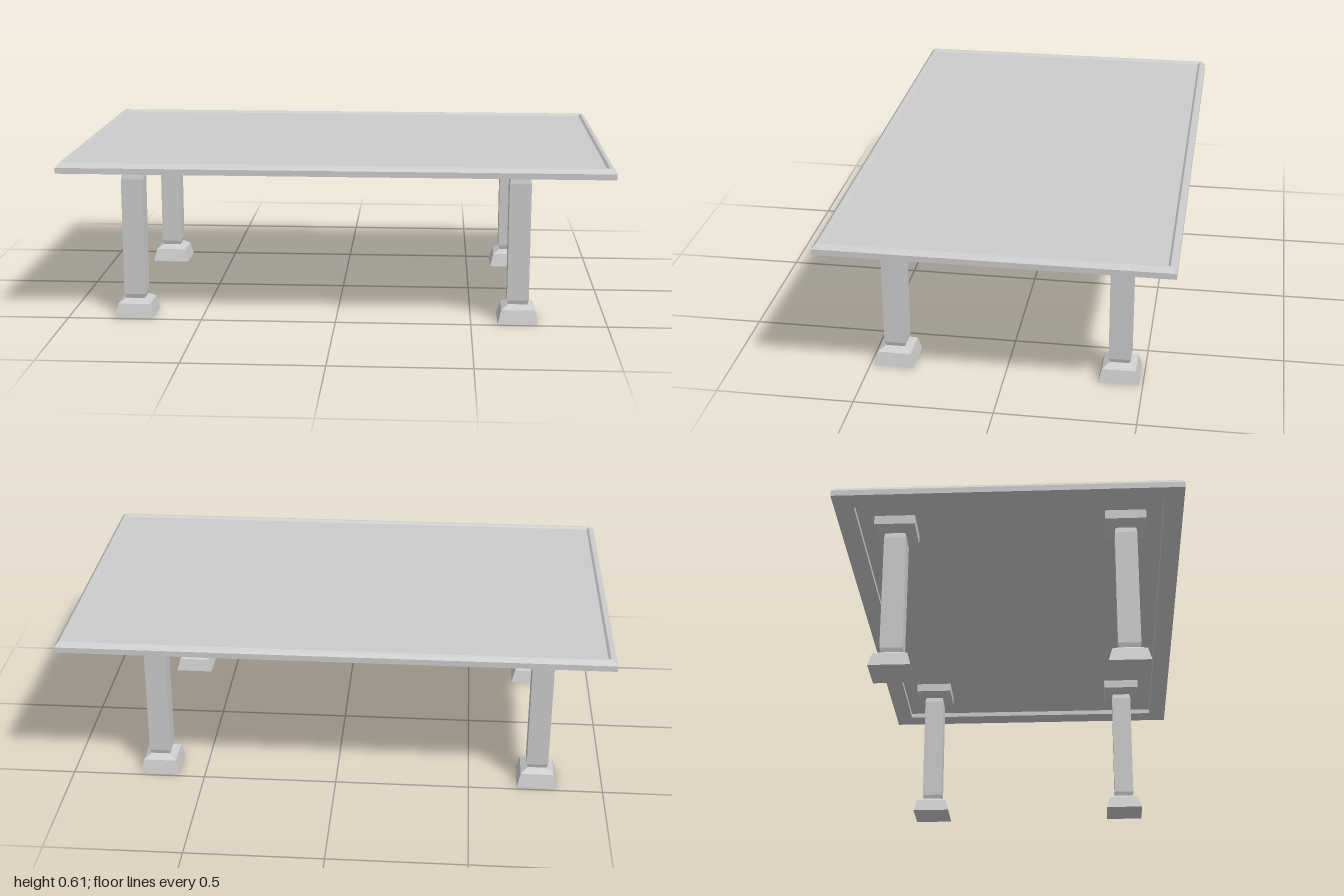
import * as THREE from 'three';

const material = new THREE.MeshStandardMaterial({ color: 0xcccccc, flatShading: true });

// Joins rectangular rings [halfX, halfZ, y] into a closed faceted solid
function loftRectangles(rings) {
  const corners = [[1, 1], [1, -1], [-1, -1], [-1, 1]];
  const points = rings.map(([hx, hz, y]) => corners.map(([sx, sz]) => [sx * hx, y, sz * hz]));
  const positions = [];
  const quad = (a, b, c, d) => positions.push(...a, ...b, ...c, ...a, ...c, ...d);

  const [b0, b1, b2, b3] = points[0];
  quad(b3, b2, b1, b0);
  for (let r = 0; r < points.length - 1; r++) {
    for (let i = 0; i < 4; i++) {
      const j = (i + 1) % 4;
      quad(points[r][i], points[r][j], points[r + 1][j], points[r + 1][i]);
    }
  }
  quad(...points[points.length - 1]);

  const geometry = new THREE.BufferGeometry();
  geometry.setAttribute('position', new THREE.Float32BufferAttribute(positions, 3));
  geometry.computeVertexNormals();
  return geometry;
}

function part(name, rings) {
  const mesh = new THREE.Mesh(loftRectangles(rings), material);
  mesh.name = name;
  return mesh;
}

const square = (profile) => profile.map(([half, y]) => [half, half, y]);

function createLeg(name, x, z) {
  const leg = new THREE.Group();
  leg.name = name;
  leg.position.set(x, 0, z);
  leg.add(
    // Flared foot with a sloped shoulder
    part('foot', square([[0.074, 0], [0.061, 0.05], [0.036, 0.066]])),
    // Square post, chamfered at both ends
    part('post', square([[0.035, 0.066], [0.04, 0.082], [0.04, 0.521], [0.036, 0.541]])),
    // Capital widening up to the underside of the top
    part('capital', square([[0.037, 0.541], [0.073, 0.558], [0.073, 0.592]]))
  );
  return leg;
}

export function createModel() {
  const table = new THREE.Group();
  table.name = 'table';

  // Top with a recessed underside, bevelled rim and sunken panel
  table.add(part('tabletop', [
    [0.92, 0.545, 0.592],
    [0.92, 0.545, 0.573],
    [1, 0.615, 0.573],
    [1, 0.615, 0.594],
    [0.985, 0.6, 0.611],
    [0.977, 0.592, 0.611],
    [0.969, 0.584, 0.603],
  ]));

  for (const [side, x] of [['Right', -0.755], ['Left', 0.673]]) {
    for (const [end, z] of [['front', 0.412], ['back', -0.412]]) {
      table.add(createLeg(`${end}${side}Leg`, x, z));
    }
  }
  return table;
}
